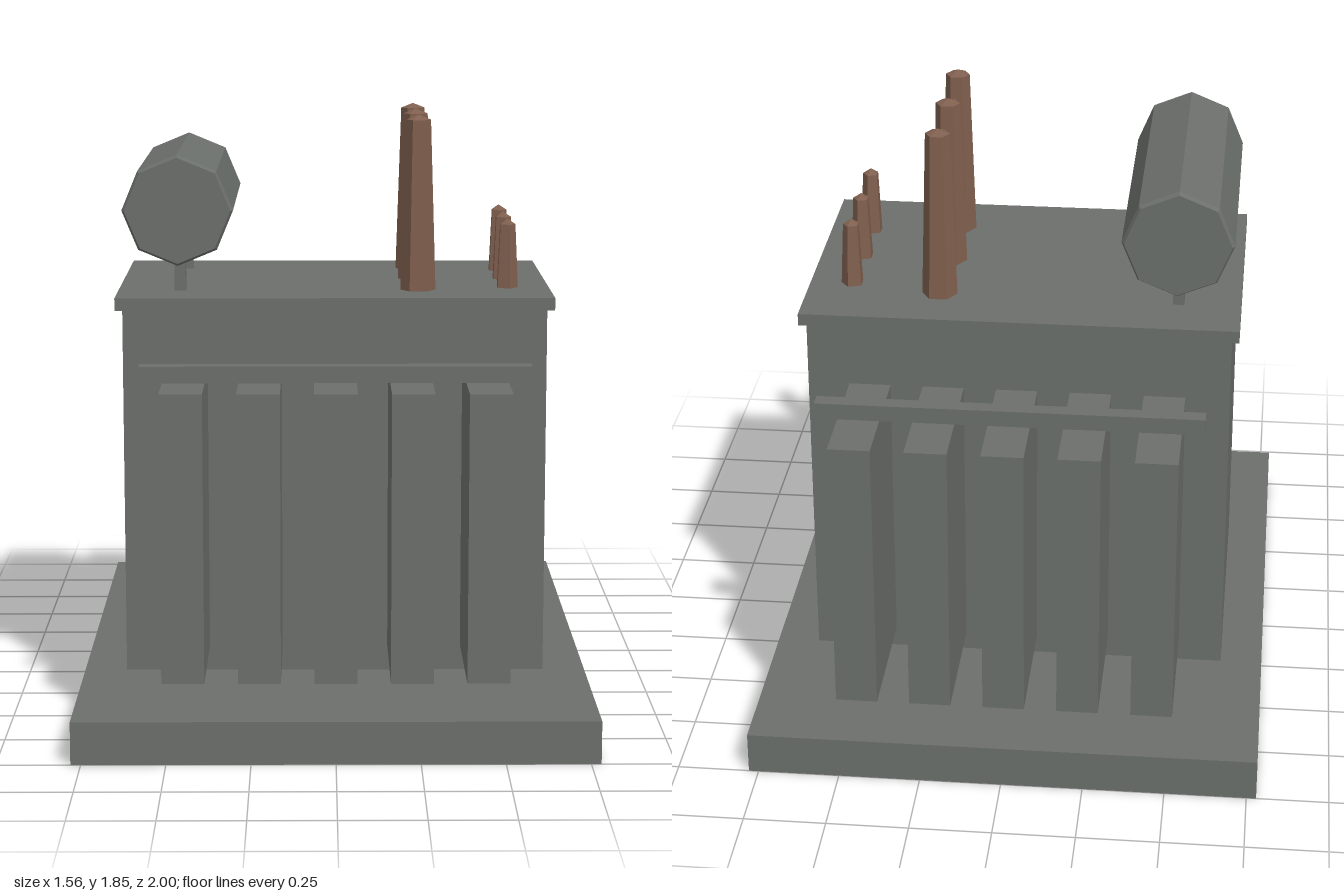
import * as THREE from 'three';

const steel = new THREE.MeshStandardMaterial({ name: 'greySteel', color: 0x6b6f6b, flatShading: true });
const ceramic = new THREE.MeshStandardMaterial({ name: 'brownCeramic', color: 0x80604f, flatShading: true });

export function createModel() {
  const model = new THREE.Group();
  model.name = 'powerTransformer';

  const add = (name, geometry, material, x, y, z) => {
    const mesh = new THREE.Mesh(geometry, material);
    mesh.name = name;
    mesh.position.set(x, y, z);
    model.add(mesh);
    return mesh;
  };

  // Box placed by its bottom height
  const box = (name, w, h, d, x, bottom, z) =>
    add(name, new THREE.BoxGeometry(w, h, d), steel, x, bottom + h / 2, z);

  // Faceted solid of revolution from [radius, height] pairs
  const turned = (points, sides) =>
    new THREE.LatheGeometry(points.map(([r, y]) => new THREE.Vector2(r, y)), sides);

  // Plinth, tank and lid
  box('basePlinth', 1.56, 0.13, 2, 0, 0, 0);
  box('tank', 1.3, 1.14, 0.875, 0, 0.13, 0);
  box('tankLid', 1.345, 0.038, 0.91, 0, 1.267, 0);

  // Radiator banks with header bars, front and back
  for (const side of [1, -1]) {
    for (let i = -2; i <= 2; i++) {
      box('radiatorFin', 0.127, 0.868, 0.435, i * 0.226, 0.22, side * 0.695);
    }
    box('radiatorHeader', 1.17, 0.05, 0.05, 0, 1.088, side * 0.695);
  }

  // Oil conservator drum with slightly chamfered ends, on two posts
  const drum = add('conservatorDrum', turned(
    [[0, -0.435], [0.162, -0.435], [0.17, -0.42], [0.17, 0.42], [0.162, 0.435], [0, 0.435]], 8),
  steel, -0.48, 1.57, 0);
  drum.rotation.x = Math.PI / 2;
  for (const z of [-0.26, 0.26]) box('conservatorPost', 0.035, 0.14, 0.035, -0.48, 1.3, z);

  // Tapered bushings: tall six-sided row and short five-sided row
  const tall = turned([[0, 0], [0.055, 0], [0.038, 0.53], [0, 0.545]], 6);
  const short = turned([[0, 0], [0.036, 0], [0.026, 0.2], [0, 0.217]], 5);
  for (const i of [-1, 0, 1]) {
    add('tallBushing', tall, ceramic, 0.26, 1.304, i * 0.26).rotation.y = Math.PI / 2;
    add('shortBushing', short, ceramic, 0.54, 1.304, i * 0.208).rotation.y = Math.PI / 2;
  }

  return model;
}
